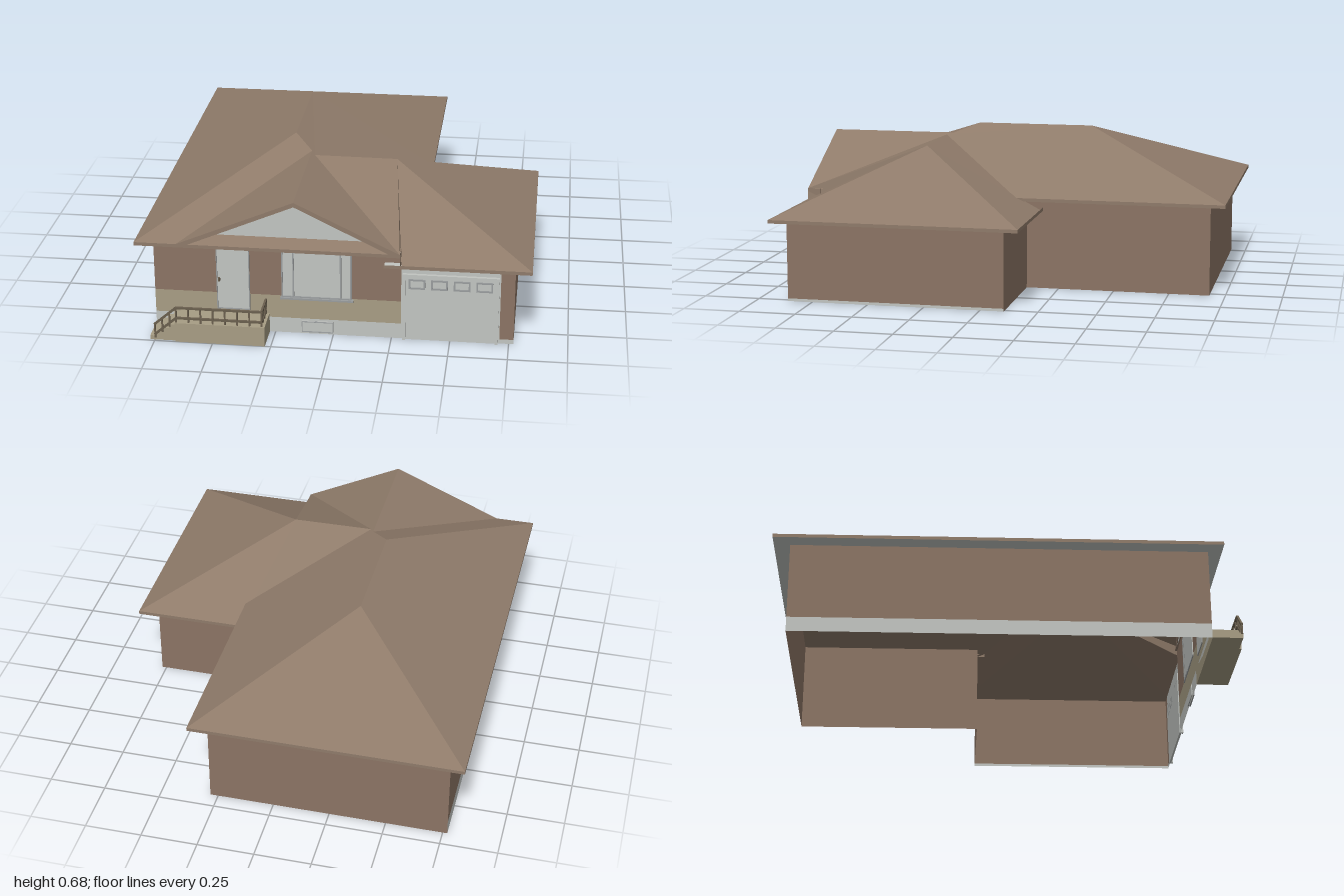
import * as THREE from 'three';

const mat = (name, color, side = THREE.FrontSide) =>
  new THREE.MeshStandardMaterial({ name, color, side });

export function createModel() {
  const house = new THREE.Group();
  house.name = 'house';
  const D = THREE.DoubleSide;
  const roofMat = mat('roof shingle', 0x8f7b6a, D);
  const brick = mat('brown brick', 0x8b7464, D);
  const stone = mat('tan stone', 0xa79d84, D);
  const trim = mat('pale trim', 0xc2c5c1, D);
  const frame = mat('grey frame', 0x9a9d9e);
  const rail = mat('railing brown', 0x6a5f4e);

  // One mesh from flat convex polygons, each given as a loop of corners
  function faces(name, material, polys, parent = house) {
    const pos = [];
    for (const p of polys)
      for (let i = 1; i < p.length - 1; i++) pos.push(...p[0], ...p[i], ...p[i + 1]);
    const g = new THREE.BufferGeometry();
    g.setAttribute('position', new THREE.Float32BufferAttribute(pos, 3));
    g.computeVertexNormals();
    const m = new THREE.Mesh(g, material);
    m.name = name;
    parent.add(m);
    return m;
  }
  // Box given by its limits
  function box(name, material, x0, x1, y0, y1, z0, z1, parent = house) {
    const m = new THREE.Mesh(new THREE.BoxGeometry(x1 - x0, y1 - y0, z1 - z0), material);
    m.position.set((x0 + x1) / 2, (y0 + y1) / 2, (z0 + z1) / 2);
    m.name = name;
    parent.add(m);
    return m;
  }
  // Upright strip between two plan points
  const strip = ([xa, za], [xb, zb], y0, y1) =>
    [[xa, y0, za], [xb, y0, zb], [xb, y1, zb], [xa, y1, za]];
  // Level rectangle
  const level = (x0, x1, z0, z1, y) => [[x0, y, z1], [x0, y, z0], [x1, y, z0], [x1, y, z1]];

  // Plan corners of the walls
  const W = 0.86, FL = [-0.77, W], FM = [0.29, W], FR = [0.77, W];
  const GR = [0.77, -0.105], GB = [0.285, -0.105], BR = [0.285, -0.93], BL = [-0.77, -0.93];
  faces('brickWalls', brick, [
    strip(FL, FM, 0.175, 0.42),
    strip([0.71, W], FR, 0.02, 0.36),
    strip(FR, GR, 0.012, 0.36),
    strip(GR, GB, 0, 0.36),
    strip(GB, BR, 0, 0.41),
    strip(BR, BL, 0, 0.41),
    strip(BL, FL, 0.065, 0.41),
  ]);
  faces('stoneBand', stone, [strip(FL, FM, 0.07, 0.175)]);
  faces('foundation', trim, [
    strip(FL, FM, 0, 0.07),
    strip(BL, FL, 0, 0.065),
    strip([0.71, W], FR, 0, 0.02),
    strip(FR, GR, 0, 0.012),
  ]);
  faces('garageSurround', trim, [strip(FM, [0.71, W], 0, 0.36)]);

  // Roof key points
  const E = 0.42, G = 0.37;
  const ridgeBack = [-0.243, 0.675, -0.31], ridgeFront = [-0.243, 0.675, 0.23];
  const gableBack = [-0.157, 0.635, 0.34], gableFront = [-0.157, 0.635, 0.92];
  const gableLeft = [-0.66, E, 0.92], gableRight = [0.288, E, 0.92];
  const garageIn = [-0.14, 0.627, 0.37], garageRidge = [0.225, 0.625, 0.37];
  const valley = [0.355, E, -0.07];
  const frontLeft = [-0.84, E, 0.92], backLeft = [-0.84, E, -1], backRight = [0.355, E, -1];
  const garFront = [0.84, G, 0.92], garBack = [0.84, G, -0.18];
  faces('mainRoof', roofMat, [
    [ridgeBack, backLeft, frontLeft, ridgeFront],
    [ridgeBack, backRight, backLeft],
    [ridgeBack, ridgeFront, gableBack, garageIn, valley, backRight],
    [ridgeFront, frontLeft, gableLeft, gableBack],
  ]);
  faces('gableRoof', roofMat, [
    [gableBack, gableLeft, gableFront],
    [gableBack, gableFront, gableRight, garageIn],
    [[-0.66, E, 0.92], [0.288, E, 0.92], [0.24, 0.446, 0.85], [-0.62, 0.446, 0.85]],
  ]);
  faces('garageRoof', roofMat, [
    [garageRidge, garBack, [0.355, G, -0.18], valley, garageIn],
    [garageRidge, garFront, garBack],
    [garageRidge, [0.295, G, 0.92], garFront],
    [garageIn, gableRight, garageRidge],
    [garageRidge, gableRight, [0.295, G, 0.92]],
  ]);

  // Rake boards framing the recessed gable panel
  const rake = new THREE.Shape([[-0.66, 0.42], [-0.61, 0.42], [-0.157, 0.614], [0.24, 0.42],
    [0.288, 0.42], [-0.157, 0.634]].map(([x, y]) => new THREE.Vector2(x, y)));
  const rakeMesh = new THREE.Mesh(
    new THREE.ExtrudeGeometry(rake, { depth: 0.07, bevelEnabled: false }), roofMat);
  rakeMesh.position.z = 0.85;
  rakeMesh.name = 'gableRake';
  house.add(rakeMesh);
  faces('gablePanel', trim, [[[-0.64, 0.425, 0.855], [0.25, 0.425, 0.855], [-0.157, 0.625, 0.855]]]);

  // Fascia boards and soffits under the eaves
  faces('fascia', roofMat, [
    strip([-0.84, 0.92], [0.29, 0.92], 0.405, E),
    strip([-0.84, -1], [-0.84, 0.92], 0.405, E),
    strip([0.355, -1], [-0.84, -1], 0.405, E),
    strip([0.355, -0.07], [0.355, -1], 0.405, E),
    strip([0.29, 0.92], [0.29, W], 0.355, E),
    strip([0.22, 0.92], [0.84, 0.92], 0.355, G),
    strip([0.84, 0.92], [0.84, -0.18], 0.355, G),
    strip([0.84, -0.18], [0.29, -0.18], 0.355, G),
  ]);
  faces('soffits', trim, [
    level(-0.84, 0.29, W, 0.92, 0.405),
    level(-0.84, -0.77, -1, W, 0.405),
    level(-0.77, 0.355, -1, -0.93, 0.405),
    level(0.285, 0.355, -0.93, -0.105, 0.405),
    level(0.22, 0.84, W, 0.92, 0.355),
    level(0.77, 0.84, -0.18, W, 0.355),
    level(0.285, 0.77, -0.18, -0.105, 0.355),
  ]);

  // Rectangular border of four bars
  function border(name, x0, x1, y0, y1, t, z0, z1, parent) {
    for (const x of [x0, x1 - t]) box(name, frame, x, x + t, y0, y1, z0, z1, parent);
    for (const y of [y0, y1 - t]) box(name, frame, x0 + t, x1 - t, y, y + t, z0, z1, parent);
  }
  const part = (name) => {
    const g = new THREE.Group();
    g.name = name;
    house.add(g);
    return g;
  };
  const zA = W - 0.004, zB = W + 0.005, zF = W + 0.01;

  // Front door
  const door = part('frontDoor');
  box('doorPanel', trim, -0.497, -0.36, 0.105, 0.387, zA, zB, door);
  border('doorFrame', -0.5, -0.357, 0.102, 0.39, 0.004, zA, zF, door);
  box('doorHandle', rail, -0.492, -0.484, 0.235, 0.25, zB, W + 0.018, door);

  // Picture window with side sashes
  const win = part('pictureWindow');
  box('windowPane', trim, -0.22, 0.08, 0.172, 0.385, zA, zB, win);
  border('windowFrame', -0.22, 0.08, 0.172, 0.387, 0.006, zA, zF, win);
  for (const x of [-0.172, 0.03]) box('mullion', frame, x, x + 0.006, 0.178, 0.381, zA, zF, win);
  box('windowSill', frame, -0.225, 0.088, 0.165, 0.173, zA, W + 0.018, win);

  // Basement window
  const low = part('basementWindow');
  box('basementPane', trim, -0.135, 0, 0.01, 0.06, zA, zB, low);
  border('basementFrame', -0.135, 0, 0.01, 0.06, 0.003, zA, zF, low);

  // Garage door with four lights
  const garage = part('garageDoor');
  box('garagePanel', trim, 0.305, 0.695, 0, 0.3, zA, zB, garage);
  for (const x of [0.296, 0.69]) box('garageJamb', trim, x, x + 0.014, 0, 0.305, zA, W + 0.014, garage);
  box('garageHead', trim, 0.296, 0.704, 0.297, 0.309, zA, W + 0.014, garage);
  for (let i = 0; i < 4; i++) {
    const x = 0.322 + i * 0.095;
    border('garageLight', x, x + 0.07, 0.24, 0.285, 0.007, zA, zF, garage);
  }

  // Porch slab and steps
  const porch = part('porch');
  box('landing', stone, -0.66, -0.275, 0, 0.088, W, 1, porch);
  for (let i = 0; i < 4; i++)
    box('step', stone, -0.77 + i * 0.0275, -0.66, i * 0.019, (i + 1) * 0.019, W, 0.99, porch);

  // Straight rail bar between two points
  const railing = part('porchRailing');
  function bar(name, a, b, t = 0.007) {
    const A = new THREE.Vector3(...a), B = new THREE.Vector3(...b);
    const m = new THREE.Mesh(new THREE.BoxGeometry(t, t, A.distanceTo(B)), rail);
    m.position.copy(A).add(B).multiplyScalar(0.5);
    m.lookAt(B);
    m.name = name;
    railing.add(m);
  }
  const zr = 0.99, xl = -0.655, xr = -0.288;
  for (const y of [0.108, 0.156]) {
    bar('frontRail', [xl, y, zr], [xr, y, zr], 0.009);
    bar('sideRail', [xr, y, zr], [xr, y, 0.87], 0.009);
    bar('stairRail', [-0.75, y - 0.083, zr], [xl, y, zr], 0.009);
  }
  for (let i = 0; i <= 7; i++) {
    const x = xl + (xr - xl) * i / 7;
    bar('baluster', [x, 0.085, zr], [x, 0.158, zr]);
  }
  for (const z of [0.87, 0.91, 0.95]) bar('sideBaluster', [xr, 0.085, z], [xr, 0.158, z]);
  for (let i = 0; i < 3; i++) {
    const x = -0.748 + i * 0.032, y = 0.075 + i * 0.028;
    bar('stairBaluster', [x, y - 0.065, zr], [x, y, zr]);
  }
  return house;
}
